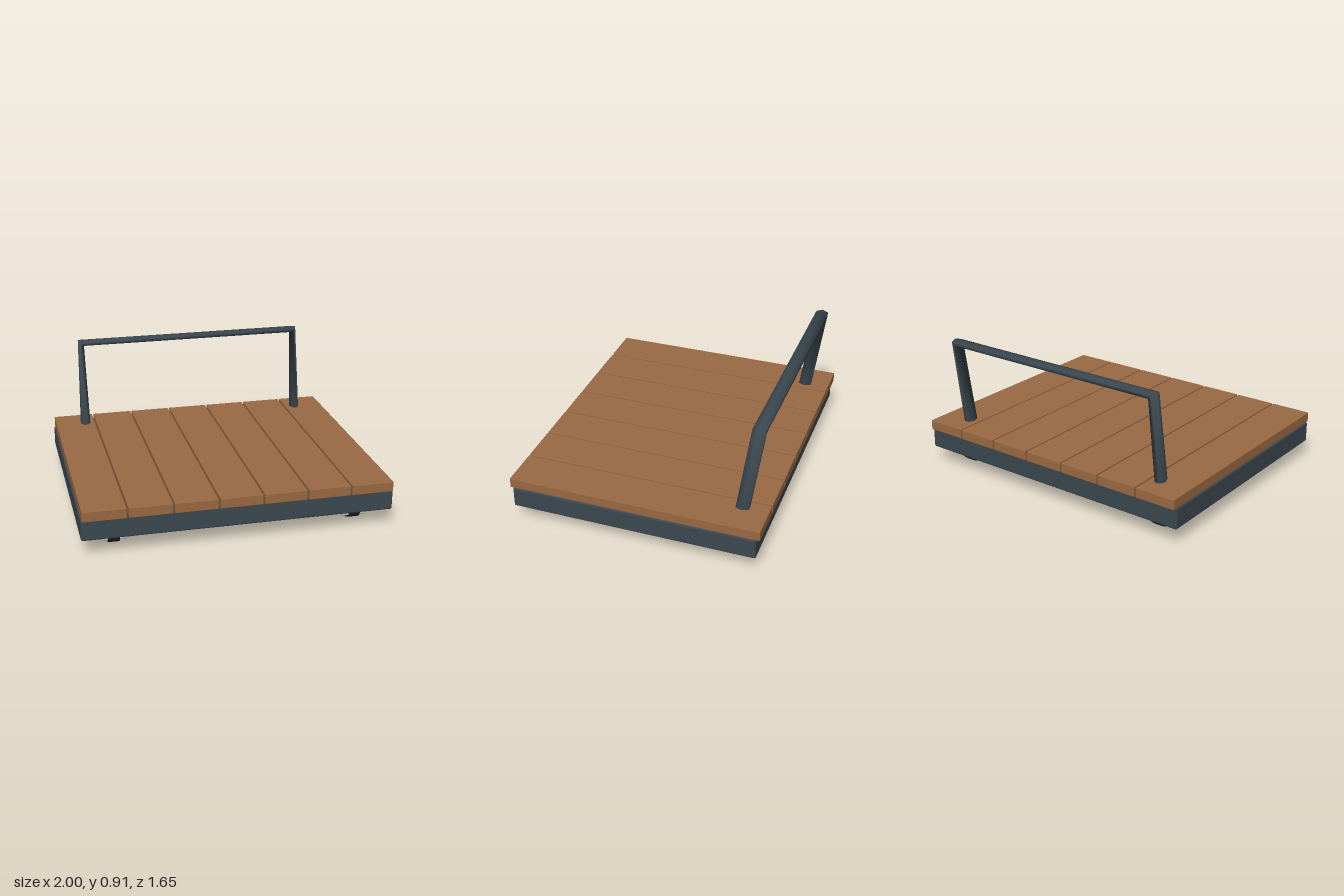
import * as THREE from 'three';
import { RoundedBoxGeometry } from 'three/addons/geometries/RoundedBoxGeometry.js';

const paint = (color) => new THREE.MeshStandardMaterial({ color });
const frameMat = paint(0x3b4850);
const woodMat = paint(0x9a6a43);
const tyreMat = paint(0x25282a);
const bracketMat = paint(0xb8bdb9);

function add(parent, name, geometry, material, x, y, z) {
  const mesh = new THREE.Mesh(geometry, material);
  mesh.name = name;
  mesh.position.set(x, y, z);
  parent.add(mesh);
  return mesh;
}

// Six-sided tube skinned over elliptical rings: centre, in-plane radius vector, z radius
function ringTube(rings, sides = 6) {
  const pos = [], index = [];
  for (const { c, u, w } of rings) {
    for (let i = 0; i < sides; i++) {
      const a = (i / sides) * Math.PI * 2;
      pos.push(c[0] + u[0] * Math.cos(a), c[1] + u[1] * Math.cos(a), c[2] + w * Math.sin(a));
    }
  }
  for (let r = 0; r < rings.length - 1; r++) {
    for (let i = 0; i < sides; i++) {
      const a = r * sides + i, b = r * sides + ((i + 1) % sides);
      index.push(a, a + sides, b, b, a + sides, b + sides);
    }
  }
  const g = new THREE.BufferGeometry();
  g.setAttribute('position', new THREE.Float32BufferAttribute(pos, 3));
  g.setIndex(index);
  g.computeVertexNormals();
  return g;
}

export function createModel() {
  const model = new THREE.Group();
  model.name = 'platformCart';

  // Steel chassis
  add(model, 'chassis', new RoundedBoxGeometry(2, 0.137, 1.61, 2, 0.01), frameMat, 0, 0.179, 0);

  // Seven deck planks with narrow gaps
  const plank = new RoundedBoxGeometry(0.274, 0.067, 1.65, 1, 0.004);
  for (let i = 0; i < 7; i++) {
    add(model, `plank${i + 1}`, plank, woodMat, (i - 3) * 0.285, 0.279, 0);
  }

  // Push handle: two leaning posts mitred into a flattened crossbar
  const foot = (s) => ({ c: [s * 0.785, 0.25, -0.647], u: [s * 0.036, 0], w: 0.049 });
  const corner = (s) => ({ c: [s * 0.784, 0.888, -0.741], u: [s * 0.021, 0.022], w: 0.048 });
  const handleMat = frameMat.clone();
  handleMat.side = THREE.DoubleSide;
  add(model, 'handle', ringTube([foot(-1), corner(-1), corner(1), foot(1)]), handleMat, 0, 0, 0);

  // Squat wheels, each straddled by a bracket
  const tyre = new THREE.CylinderGeometry(1, 1, 0.073, 16).rotateZ(Math.PI / 2);
  tyre.scale(1, 0.07, 0.125);
  const bracket = new RoundedBoxGeometry(0.156, 0.09, 0.212, 1, 0.009);
  for (const sx of [-1, 1]) {
    for (const sz of [-1, 1]) {
      const caster = new THREE.Group();
      caster.name = `${sz > 0 ? 'front' : 'back'}${sx > 0 ? 'Left' : 'Right'}Caster`;
      caster.position.set(sx * 0.785, 0, sz * 0.585);
      add(caster, 'wheel', tyre, tyreMat, 0, 0.07, 0);
      add(caster, 'bracket', bracket, bracketMat, 0, 0.082, 0);
      model.add(caster);
    }
  }
  return model;
}
